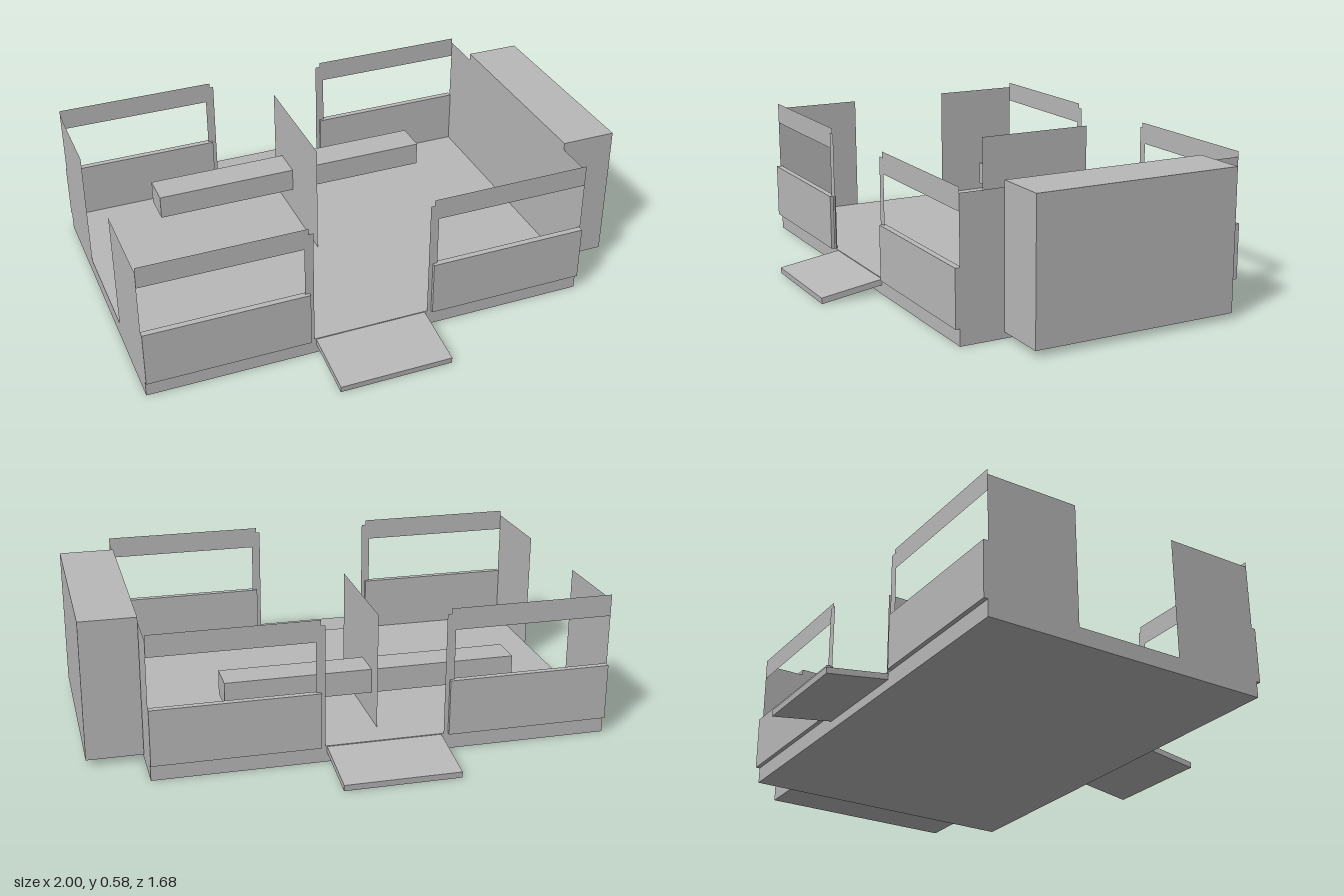
import * as THREE from 'three';

export function createModel() {
  const model = new THREE.Group();
  model.name = 'pavilion';
  const grey = new THREE.MeshStandardMaterial({ color: 0xb8b8b8, side: THREE.DoubleSide });
  grey.name = 'plain grey';

  // Block given by its extents
  function block(name, x0, x1, y0, y1, z0, z1, parent = model) {
    const mesh = new THREE.Mesh(new THREE.BoxGeometry(x1 - x0, y1 - y0, z1 - z0), grey);
    mesh.position.set((x0 + x1) / 2, (y0 + y1) / 2, (z0 + z1) / 2);
    mesh.name = name;
    parent.add(mesh);
    return mesh;
  }
  // Paper-thin sheet facing x
  function sheetX(name, x, y0, y1, z0, z1, parent = model) {
    const mesh = new THREE.Mesh(new THREE.PlaneGeometry(z1 - z0, y1 - y0), grey);
    mesh.rotation.y = Math.PI / 2;
    mesh.position.set(x, (y0 + y1) / 2, (z0 + z1) / 2);
    mesh.name = name;
    parent.add(mesh);
  }
  // Paper-thin sheet facing z
  function sheetZ(name, x0, x1, y0, y1, z, parent = model) {
    const mesh = new THREE.Mesh(new THREE.PlaneGeometry(x1 - x0, y1 - y0), grey);
    mesh.position.set((x0 + x1) / 2, (y0 + y1) / 2, z);
    mesh.name = name;
    parent.add(mesh);
  }

  const mid = -0.11, floorY = 0.065, wallTop = 0.55;

  // Floor, side room, counter and divider
  block('floorSlab', -1, 0.78, 0, floorY, -0.59, 0.59);
  block('sideRoom', 0.782, 1, 0.025, 0.576, -0.415, 0.415);
  block('counter', -0.69, 0.465, 0.175, 0.272, -0.39, -0.26);
  sheetX('divider', mid - 0.002, floorY, 0.525, -0.475, 0.03);

  // End walls: one full, one with a central opening
  sheetX('endWall', 0.78, floorY, wallTop, -0.59, 0.59);
  sheetX('openEndWallFront', -1, floorY, wallTop, 0.22, 0.59);
  sheetX('openEndWallBack', -1, floorY, wallTop, -0.59, -0.22);

  // Ramp cross-section (z, y), extruded along x
  const ramp = new THREE.Shape();
  ramp.moveTo(0.588, 0.038);
  ramp.lineTo(0.838, 0);
  ramp.lineTo(0.84, 0.024);
  ramp.lineTo(0.588, 0.062);
  ramp.closePath();
  const rampGeometry = new THREE.ExtrudeGeometry(ramp, { depth: 0.45, bevelEnabled: false });
  rampGeometry.rotateY(-Math.PI / 2);
  rampGeometry.translate(0.115, 0, 0);

  // Long sides: parapet, top rail and post on either side of the entrance, with a ramp
  for (const [side, turn] of [['front', 0], ['back', Math.PI]]) {
    const wall = new THREE.Group();
    wall.name = side + 'Wall';
    for (const s of [-1, 1]) {
      const span = (a, b) => [Math.min(mid + s * a, mid + s * b), Math.max(mid + s * a, mid + s * b)];
      block('parapet', ...span(0.25, 0.89), floorY, 0.287, 0.582, 0.607, wall);
      sheetZ('topRail', ...span(0.25, 0.89), 0.485, 0.571, 0.59, wall);
      sheetZ('post', ...span(0.233, 0.268), floorY, wallTop, 0.593, wall);
    }
    const rampMesh = new THREE.Mesh(rampGeometry, grey);
    rampMesh.name = 'ramp';
    wall.add(rampMesh);
    // Turn about the middle of the floor
    wall.rotation.y = turn;
    if (turn) wall.position.x = 2 * mid;
    model.add(wall);
  }
  return model;
}
